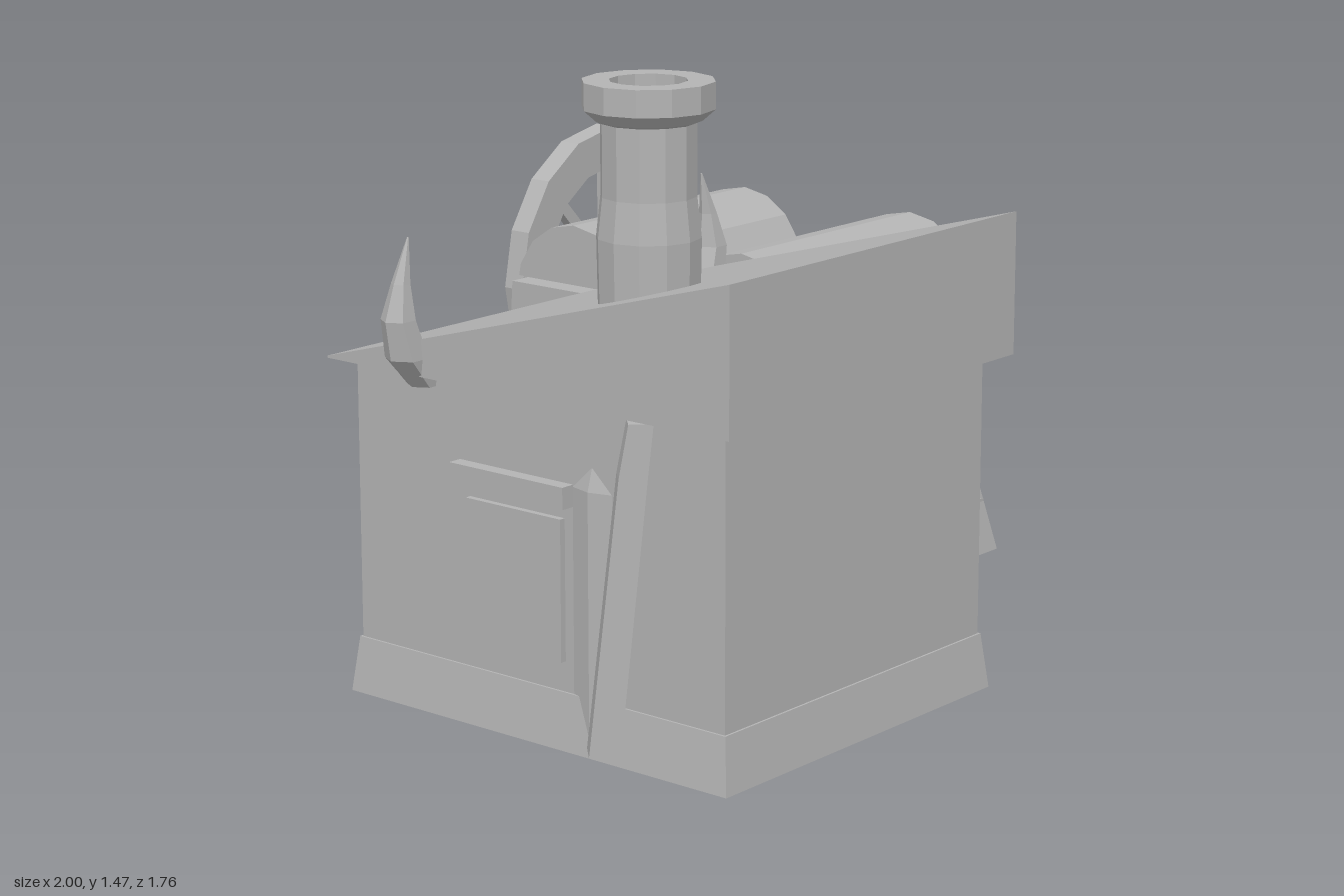
import * as THREE from 'three';

const stone = new THREE.MeshStandardMaterial({ color: 0xb4b4b4, flatShading: true, side: THREE.DoubleSide });
stone.name = 'stone grey';

const CX = -0.42; // centre line of the hut

function add(parent, name, geometry, x = 0, y = 0, z = 0) {
  const m = new THREE.Mesh(geometry, stone);
  m.name = name;
  m.position.set(x, y, z);
  parent.add(m);
  return m;
}

// Box given by its extents
function block(parent, name, x0, x1, y0, y1, z0, z1) {
  return add(parent, name, new THREE.BoxGeometry(x1 - x0, y1 - y0, z1 - z0),
    (x0 + x1) / 2, (y0 + y1) / 2, (z0 + z1) / 2);
}

// Horizontal cross-sections, counter-clockwise from above
const rect = (x0, x1, z0, z1, y) => [[x0, y, z1], [x1, y, z1], [x1, y, z0], [x0, y, z0]];
const ngon = (n, x, y, z, r) => Array.from({ length: n }, (_, i) => {
  const a = (i / n) * Math.PI * 2;
  return [x + r * Math.cos(a), y, z - r * Math.sin(a)];
});

// Skin over a stack of cross-sections
function loft(rings, bottom = true, top = true) {
  const p = [];
  const n = rings[0].length;
  for (let i = 0; i < rings.length - 1; i++) {
    for (let j = 0; j < n; j++) {
      const k = (j + 1) % n;
      const [a, b, c, d] = [rings[i][j], rings[i][k], rings[i + 1][k], rings[i + 1][j]];
      p.push(...a, ...b, ...c, ...a, ...c, ...d);
    }
  }
  const first = rings[0], last = rings[rings.length - 1];
  for (let j = 1; j < n - 1; j++) {
    if (bottom) p.push(...first[0], ...first[j + 1], ...first[j]);
    if (top) p.push(...last[0], ...last[j], ...last[j + 1]);
  }
  const g = new THREE.BufferGeometry();
  g.setAttribute('position', new THREE.Float32BufferAttribute(p, 3));
  g.computeVertexNormals();
  return g;
}

// Gabled panel facing the back
function gable(halfWidth, shoulder, peak, depth) {
  const s = new THREE.Shape([
    new THREE.Vector2(-halfWidth, 0), new THREE.Vector2(halfWidth, 0),
    new THREE.Vector2(halfWidth, shoulder), new THREE.Vector2(0, peak),
    new THREE.Vector2(-halfWidth, shoulder),
  ]);
  return new THREE.ExtrudeGeometry(s, { depth, bevelEnabled: false });
}

function buildHut() {
  const hut = new THREE.Group();
  hut.name = 'hut';
  add(hut, 'walls', loft([rect(-0.88, 0.04, -0.245, 0.83, 0.11), rect(-0.88, 0.04, -0.245, 0.83, 0.8)]));
  add(hut, 'skirting', loft([
    rect(-0.9, 0.06, -0.265, 0.85, 0),
    rect(-0.885, 0.045, -0.25, 0.835, 0.13),
    rect(-0.88, 0.04, -0.245, 0.83, 0.13),
  ], false, false));

  // Lean-to roof, a wedge running down to the back
  const roofTop = rect(-0.93, 0.09, -0.29, 0.88, 1.12);
  roofTop[2][1] = roofTop[3][1] = 0.795;
  add(hut, 'roof', loft([rect(-0.93, 0.09, -0.29, 0.88, 0.79), roofTop]));

  // Chimney, running down through the hut with a wide foot
  const profile = [[0.205, 0], [0.205, 0.6], [0.112, 0.92], [0.116, 1.13], [0.106, 1.22], [0.106, 1.38],
    [0.118, 1.385], [0.146, 1.41], [0.146, 1.47], [0.086, 1.47], [0.086, 1.1]];
  add(hut, 'chimney', new THREE.LatheGeometry(profile.map(([r, y]) => new THREE.Vector2(r, y)), 12), -0.69, 0, 0.46);

  for (const s of [1, -1]) {
    const at = (dx) => CX + s * dx;
    const side = (name, dx, y0, y1, z0, z1) =>
      block(hut, name, Math.min(at(0.45), at(dx)), Math.max(at(0.45), at(dx)), y0, y1, z0, z1);
    side('windowPanel', 0.475, 0.2, 0.525, 0.1, 0.38);
    side('windowLintel', 0.495, 0.555, 0.605, 0.07, 0.405);

    // Leaning timber prop
    add(hut, 'prop', loft([
      ngon(4, at(0.515), 0.04, 0.537, 0.048),
      ngon(4, at(0.477), 0.66, 0.588, 0.044),
      ngon(4, at(0.468), 0.78, 0.603, 0.038),
    ]));

    // Curved horn at the eaves, and a small one on the door frame
    const horn = (name, path, z) =>
      add(hut, name, loft(path.map(([dx, y, r]) => ngon(6, at(dx), y, z, r))));
    horn('eavesHorn', [[0.46, 0.76, 0.04], [0.515, 0.83, 0.05], [0.54, 0.92, 0.04],
      [0.53, 1.0, 0.022], [0.505, 1.1, 0.002]], -0.035);
    horn('doorHorn', [[0.185, 0.4, 0.022], [0.225, 0.43, 0.026], [0.24, 0.49, 0.018],
      [0.225, 0.57, 0.002]], -0.27);
  }

  // Back door with step and knob
  add(hut, 'doorFrame', gable(0.2, 0.42, 0.62, 0.045), CX, 0.03, -0.285);
  add(hut, 'door', gable(0.14, 0.36, 0.51, 0.02), CX, 0.03, -0.302);
  block(hut, 'doorKnob', -0.378, -0.342, 0.24, 0.276, -0.335, -0.3);
  block(hut, 'doorStep', -0.645, -0.195, 0, 0.035, -0.437, -0.25);
  return hut;
}

function buildMill() {
  const mill = new THREE.Group();
  mill.name = 'mill';
  add(mill, 'plinth', loft([rect(0.08, 1, -0.84, 0.215, 0), rect(0.12, 0.96, -0.8, 0.18, 0.185)], false));
  block(mill, 'plinthFloor', 0.11, 0.97, 0.12, 0.14, -0.81, 0.19);

  // Side walls, tapering upward, with an open passage between them
  for (const [x0, x1] of [[0.16, 0.3], [0.788, 0.925]]) {
    add(mill, 'sideWall', loft([rect(x0, x1, -0.762, 0.167, 0.185), rect(x0, x1, -0.727, 0.127, 0.728)]));
  }

  // Two rollers lying across the walls
  for (const z of [-0.02, -0.57]) {
    const roller = new THREE.CylinderGeometry(0.197, 0.197, 0.695, 16);
    roller.rotateZ(Math.PI / 2);
    add(mill, 'roller', roller, 0.5675, 0.686, z);
  }

  // Spoked wheel on the back
  const wheel = new THREE.Group();
  wheel.name = 'wheel';
  wheel.position.set(0.575, 0.692, -0.772);
  wheel.scale.x = 0.945;
  mill.add(wheel);
  const circle = (r) => Array.from({ length: 16 }, (_, i) =>
    new THREE.Vector2(r * Math.cos(i * Math.PI / 8), r * Math.sin(i * Math.PI / 8)));
  const rim = new THREE.Shape(circle(0.383));
  rim.holes.push(new THREE.Path(circle(0.28)));
  add(wheel, 'rim', new THREE.ExtrudeGeometry(rim, { depth: 0.06, bevelEnabled: false }), 0, 0, -0.03);
  for (let i = 0; i < 4; i++) {
    add(wheel, 'spokes', new THREE.BoxGeometry(0.032, 0.6, 0.03)).rotation.z = i * Math.PI / 4;
  }
  const hub = new THREE.CylinderGeometry(0.072, 0.072, 0.14, 12);
  hub.rotateX(Math.PI / 2);
  add(wheel, 'hub', hub, 0, 0, -0.036);
  block(mill, 'wheelBoard', 0.3, 0.8, 0.485, 0.54, -0.83, -0.79);
  return mill;
}

export function createModel() {
  const model = new THREE.Group();
  model.name = 'millHouse';
  model.add(buildHut(), buildMill());
  return model;
}
